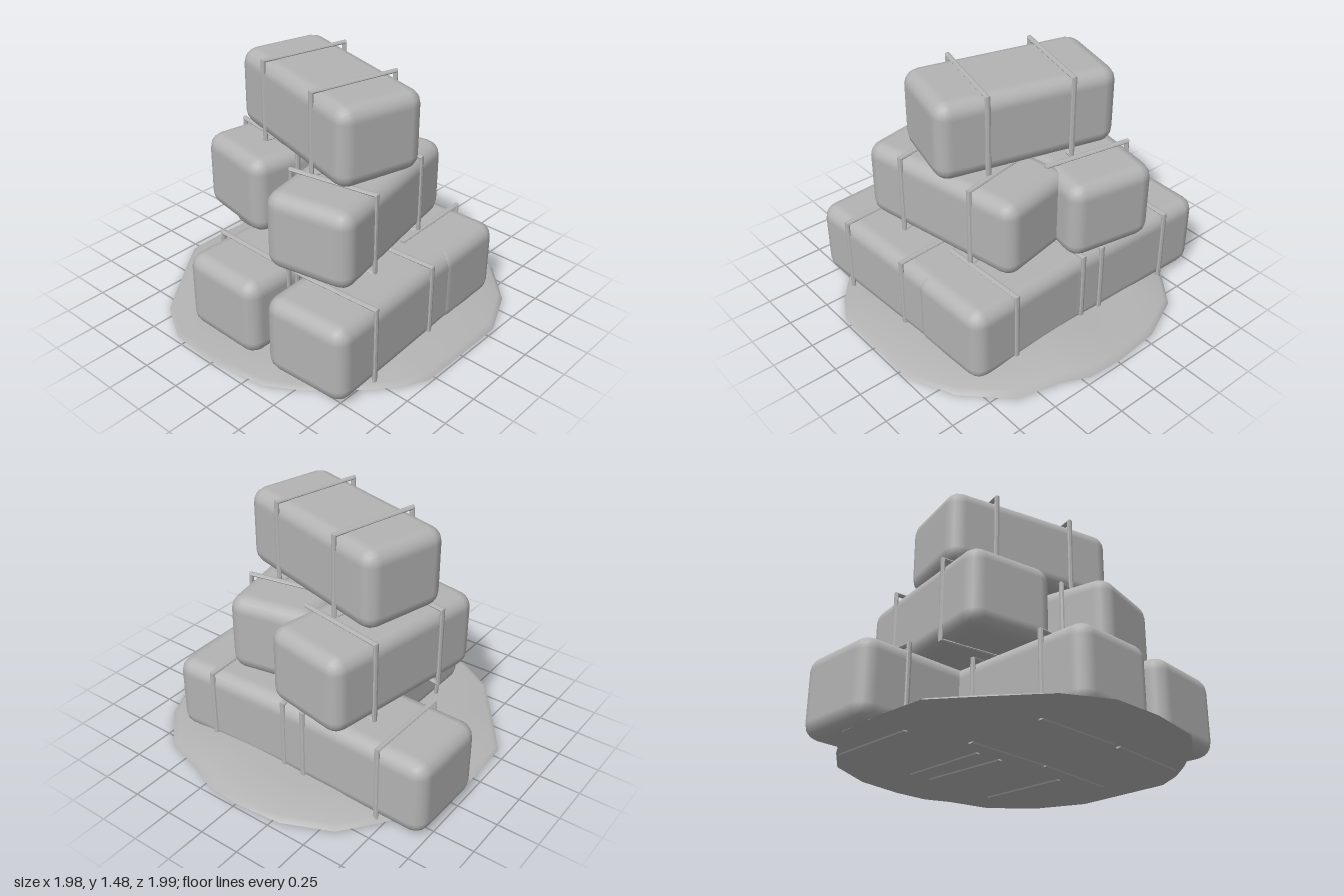
import * as THREE from 'three';
import { RoundedBoxGeometry } from 'three/addons/geometries/RoundedBoxGeometry.js';

// Irregular outline of the ground patch as [x, z]
const OUTLINE = [
  [-0.30, -0.95], [0, -0.955], [0.33, -0.93], [0.63, -0.74], [0.83, -0.58], [0.955, -0.30],
  [0.985, 0], [0.97, 0.21], [0.90, 0.36], [0.83, 0.63], [0.60, 0.86], [0.31, 0.99],
  [-0.30, 0.99], [-0.46, 0.90], [-0.61, 0.77], [-0.83, 0.53], [-0.94, 0.355], [-0.99, 0],
  [-0.975, -0.31], [-0.83, -0.56], [-0.55, -0.77],
];

// Each bale: name, centre x, y, z and turn about the vertical in degrees
const BALES = [
  ['baseBaleBackRight', 0.35, 0.26, -0.455, 89],
  ['baseBaleFrontRight', 0.35, 0.26, 0.21, 92],
  ['baseBaleBackLeft', -0.29, 0.26, -0.085, -1],
  ['baseBaleFrontLeft', -0.28, 0.26, 0.505, 3],
  ['middleBaleBack', 0.125, 0.745, -0.325, -10.3],
  ['middleBaleFront', -0.06, 0.745, 0.245, 10.5],
  ['topBale', 0, 1.233, -0.025, 75],
];

// Thin slab: flat underside, low rim and gently uneven top, lofted in rings
function groundGeometry() {
  const n = OUTLINE.length;
  const rings = [[0, 0], [1, 0], [1, 0], [0.97, 0.025], [0.75, 0.05], [0.4, 0.05], [0, 0.05]];
  const pos = [], index = [];
  rings.forEach(([s, h]) => OUTLINE.forEach(([x, z]) => {
    const wave = 1 + 0.45 * Math.cos(Math.atan2(z, x) - 0.4) + 0.15 * Math.sin(5 * Math.atan2(z, x));
    pos.push(x * s, 0.015 + h * (s > 0 ? wave : 1), z * s);
  }));
  for (let r = 0; r < rings.length - 1; r++) {
    if (r === 1) continue; // keeps the lower edge sharp
    for (let i = 0; i < n; i++) {
      const a = r * n + i, b = r * n + (i + 1) % n;
      index.push(a, a + n, b, b, a + n, b + n);
    }
  }
  const geo = new THREE.BufferGeometry();
  geo.setAttribute('position', new THREE.Float32BufferAttribute(pos, 3));
  geo.setIndex(index);
  geo.computeVertexNormals();
  return geo;
}

export function createModel() {
  const model = new THREE.Group();
  model.name = 'balePile';
  const straw = new THREE.MeshStandardMaterial({ color: 0xb3b3b3 });
  straw.name = 'plain grey';

  const ground = new THREE.Mesh(groundGeometry(), straw);
  ground.name = 'groundPatch';
  model.add(ground);

  const baleGeo = new RoundedBoxGeometry(1.09, 0.478, 0.545, 2, 0.09);
  // Square loop of cord with mitred corners, wrapped across the bale
  const twineGeo = new THREE.TorusGeometry(0.384, 0.017, 8, 4)
    .rotateZ(Math.PI / 4)
    .scale(1, 0.9, 1)
    .rotateY(Math.PI / 2)
    .toNonIndexed();
  twineGeo.computeVertexNormals();

  for (const [name, x, y, z, turn] of BALES) {
    const group = new THREE.Group();
    group.name = name;
    const bale = new THREE.Mesh(baleGeo, straw);
    bale.name = 'bale';
    group.add(bale);
    for (const side of [-1, 1]) {
      const twine = new THREE.Mesh(twineGeo, straw);
      twine.name = 'twine';
      twine.position.x = side * 0.255;
      group.add(twine);
    }
    group.position.set(x, y, z);
    group.rotation.y = THREE.MathUtils.degToRad(turn);
    model.add(group);
  }
  return model;
}
